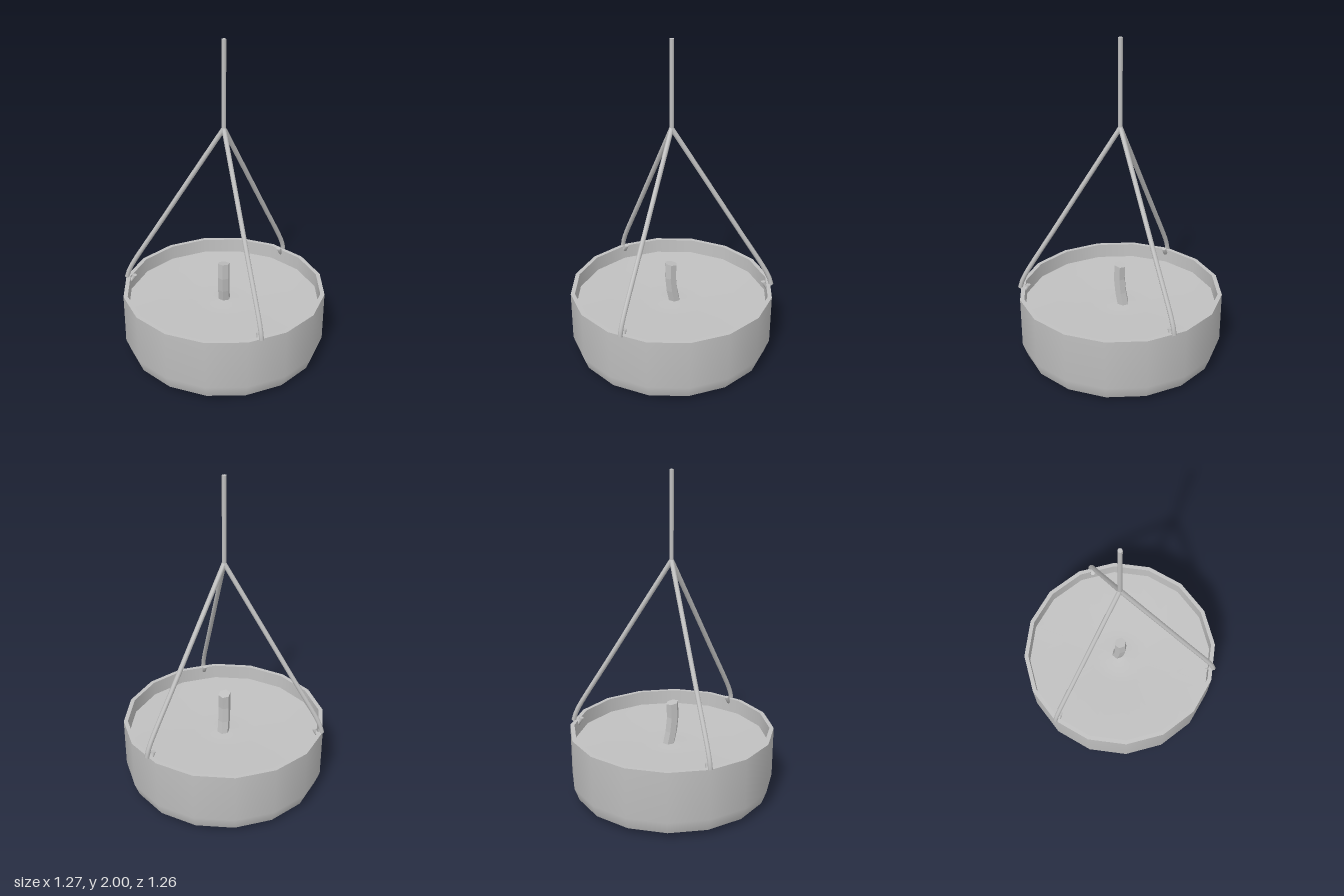
import * as THREE from 'three';

const grey = new THREE.MeshStandardMaterial({ color: 0xc0c0c0 });
grey.name = 'plain grey';

const SIDES = 16;
const v3 = (x, y, z) => new THREE.Vector3(x, y, z);

function add(parent, geometry, name) {
  const mesh = new THREE.Mesh(geometry, grey);
  mesh.name = name;
  parent.add(mesh);
  return mesh;
}

// Smooth lathe strip; separate strips keep the edges between them sharp
function turned(parent, profile, name) {
  const points = profile.map(([r, y]) => new THREE.Vector2(r, y));
  return add(parent, new THREE.LatheGeometry(points, SIDES), name);
}

// Round rod along a list of points, with closed ends
function rod(parent, points, radius, name) {
  const path = new THREE.CurvePath();
  for (let i = 1; i < points.length; i++) path.add(new THREE.LineCurve3(points[i - 1], points[i]));
  const curve = new THREE.CatmullRomCurve3(points, false, 'centripetal');
  const group = new THREE.Group();
  group.name = name;
  add(group, new THREE.TubeGeometry(curve, 28, radius, 8), name + 'Bar');
  for (const t of [0, 1]) {
    const cap = add(group, new THREE.CircleGeometry(radius, 8), name + 'End');
    const out = curve.getTangent(t).multiplyScalar(t ? 1 : -1);
    cap.position.copy(curve.getPoint(t));
    cap.quaternion.setFromUnitVectors(v3(0, 0, 1), out);
  }
  parent.add(group);
  return group;
}

export function createModel() {
  const model = new THREE.Group();
  model.name = 'hangingCandle';
  const body = new THREE.Group();
  body.name = 'body';
  body.position.x = 0.006;
  model.add(body);

  // Dish
  turned(body, [[0, 0], [0.545, 0], [0.598, 0.03]], 'dishBase');
  turned(body, [[0.598, 0.03], [0.627, 0.11], [0.629, 0.425]], 'dishWall');
  turned(body, [[0.629, 0.425], [0.603, 0.425]], 'dishRim');
  turned(body, [[0.603, 0.425], [0.598, 0.31]], 'dishInside');

  // Wax with a shallow melted hollow around the wick
  turned(body, [[0.6, 0.335], [0.4, 0.33], [0.2, 0.32], [0.1, 0.318], [0, 0.325]], 'wax');

  // Wick: a six-sided column whose rings lean and shift a little
  const wick = new THREE.CylinderGeometry(0.038, 0.038, 0.28, 6, 3).toNonIndexed();
  const p = wick.attributes.position;
  const shift = [-0.022, -0.002, 0.008, 0.004];
  for (let i = 0; i < p.count; i++) {
    const ring = Math.round((p.getY(i) + 0.14) / 0.28 * 3);
    const tilt = ring === 3 ? p.getZ(i) * 0.2 : 0;
    p.setZ(i, p.getZ(i) + shift[ring]);
    p.setY(i, p.getY(i) + tilt);
  }
  wick.computeVertexNormals();
  add(body, wick, 'wick').position.y = 0.445;

  // Three hanger rods that hook through the wall
  for (let i = 0; i < 3; i++) {
    const hanger = rod(body, [
      v3(0, 1.475, 0), v3(0.2, 1.15, 0), v3(0.4, 0.824, 0), v3(0.585, 0.522, 0),
      v3(0.612, 0.465, 0), v3(0.624, 0.42, 0), v3(0.615, 0.402, 0),
      v3(0.59, 0.405, 0), v3(0.578, 0.42, 0), v3(0.574, 0.442, 0),
    ], 0.0145, 'hanger');
    hanger.rotation.y = Math.PI + i * Math.PI * 2 / 3;
  }

  // Upright rod above the joint
  const stem = add(body, new THREE.CylinderGeometry(0.0135, 0.0135, 0.53, 8), 'upperRod');
  stem.position.y = 1.735;
  return model;
}
